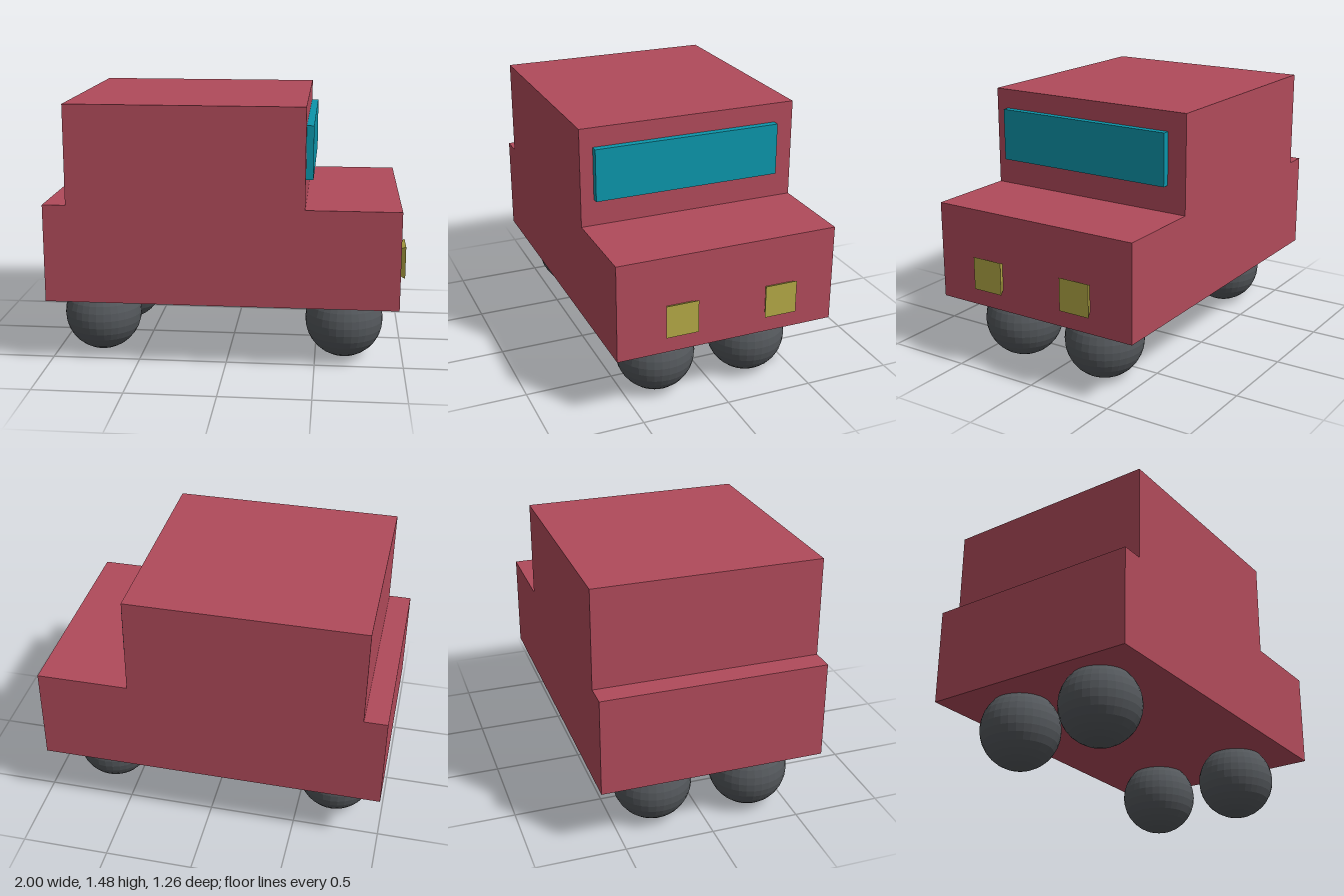
import * as THREE from 'three';

const material = (color) => new THREE.MeshStandardMaterial({ color, flatShading: true });

export function createModel() {
  const group = new THREE.Group();
  const red = material(0xb04a5a);
  const teal = material(0x0c95aa);
  const yellow = material(0xb3a845);
  const grey = material(0x54585c);

  const add = (name, geometry, mat, x, y, z) => {
    const mesh = new THREE.Mesh(geometry, mat);
    mesh.name = name;
    mesh.position.set(x, y, z);
    group.add(mesh);
  };

  // Body: stepped side profile with boot, cabin and bonnet, extruded across z
  const profile = new THREE.Shape([
    [-1, 0.377], [0.96, 0.377], [0.96, 0.928], [0.44, 0.928],
    [0.44, 1.484], [-0.87, 1.484], [-0.87, 0.928], [-1, 0.928],
  ].map(([x, y]) => new THREE.Vector2(x, y)));
  const width = 1.26;
  add('body', new THREE.ExtrudeGeometry(profile, { depth: width, bevelEnabled: false }), red, 0, 0, -width / 2);

  // Windscreen: thin slab on the cabin's front wall
  add('windscreen', new THREE.BoxGeometry(0.04, 0.295, 1.075), teal, 0.46, 1.227, 0.018);

  // Headlights: square frustums widening outwards along +x
  const lamp = new THREE.CylinderGeometry(0.0925 * Math.SQRT2, 0.074 * Math.SQRT2, 0.04, 4)
    .rotateY(Math.PI / 4)
    .rotateZ(-Math.PI / 2);
  for (const z of [0.279, -0.297]) add('headlight', lamp, yellow, 0.98, 0.577, z);

  // Wheels: faceted balls, one rear wheel set slightly forward
  const radius = 0.222;
  const wheel = new THREE.SphereGeometry(radius, 32, 16);
  for (const [x, z] of [[0.663, 0.299], [0.663, -0.26], [-0.743, 0.299], [-0.708, -0.26]]) {
    add('wheel', wheel, grey, x, radius, z);
  }

  return group;
}
